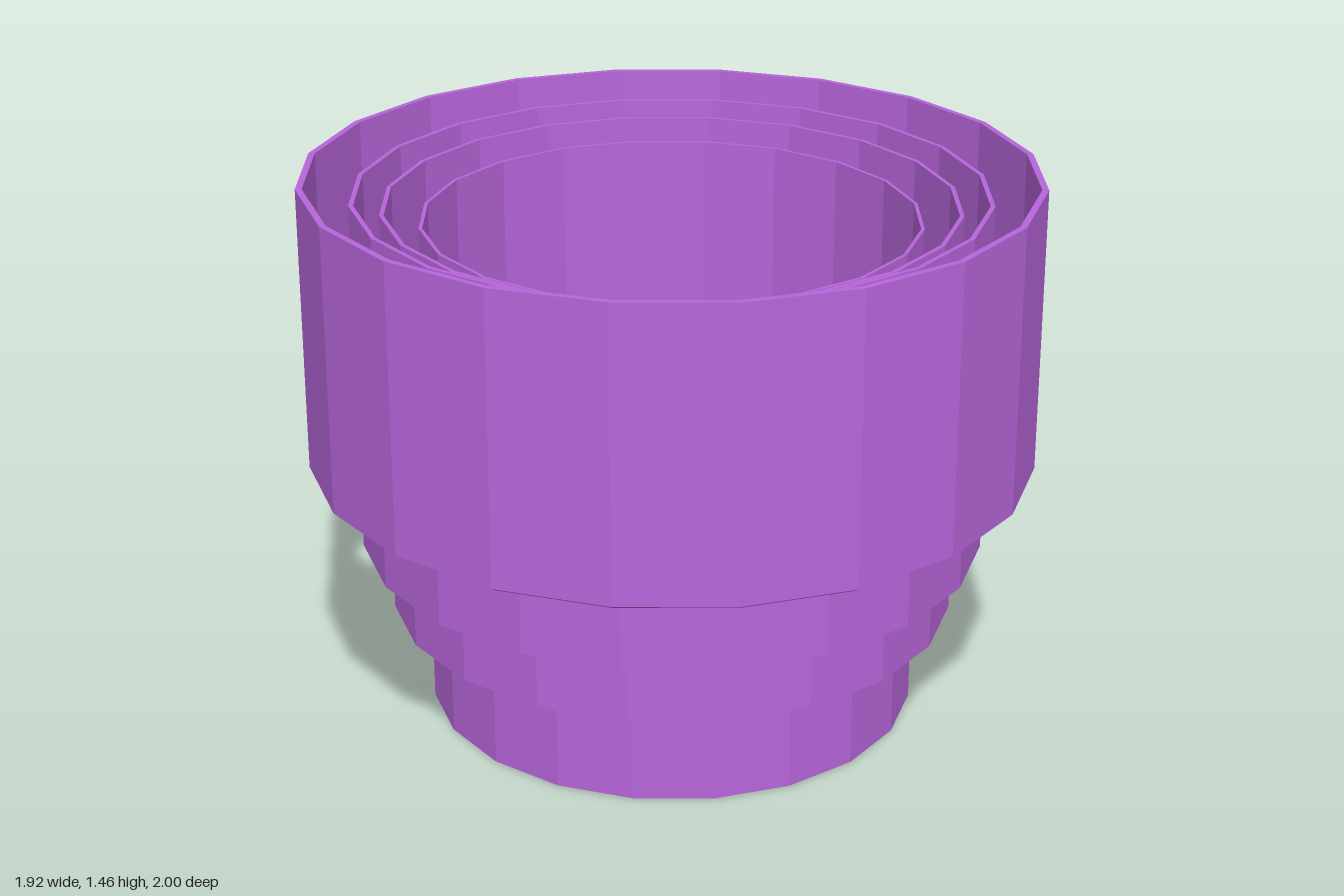
import * as THREE from 'three';

const SIDES = 20;
const START = THREE.MathUtils.degToRad(-1);
const WIDTH_RATIO = 0.962; // the sleeves are slightly narrower in x than in z

// Open-ended faceted sleeve; the lower rim slopes down towards the inside.
function sleeve(name, radius, wall, bottom, top, slope, material) {
  const inner = radius - wall;
  const profile = [
    [radius, bottom + slope],
    [radius, top],
    [inner, top],
    [inner, bottom],
    [radius, bottom + slope],
  ].map(([r, y]) => new THREE.Vector2(r, y));
  const geometry = new THREE.LatheGeometry(profile, SIDES, START);
  geometry.scale(WIDTH_RATIO, 1, 1);
  const mesh = new THREE.Mesh(geometry, material);
  mesh.name = name;
  return mesh;
}

export function createModel() {
  const model = new THREE.Group();
  model.name = 'telescopingCup';
  const material = new THREE.MeshStandardMaterial({ color: 0xb866dc, flatShading: true });

  // Nested sleeves, from the widest to the narrowest:
  // name, radius, wall, bottom, top, rim slope
  const sleeves = [
    ['outerSleeve', 1.0, 0.018, 0.687, 1.46, 0.011],
    ['secondSleeve', 0.863, 0.013, 0.457, 1.41, 0.005],
    ['thirdSleeve', 0.783, 0.012, 0.273, 1.38, 0.003],
    ['innerSleeve', 0.68, 0.01, 0, 1.34, 0],
  ];
  for (const spec of sleeves) model.add(sleeve(...spec, material));
  return model;
}
